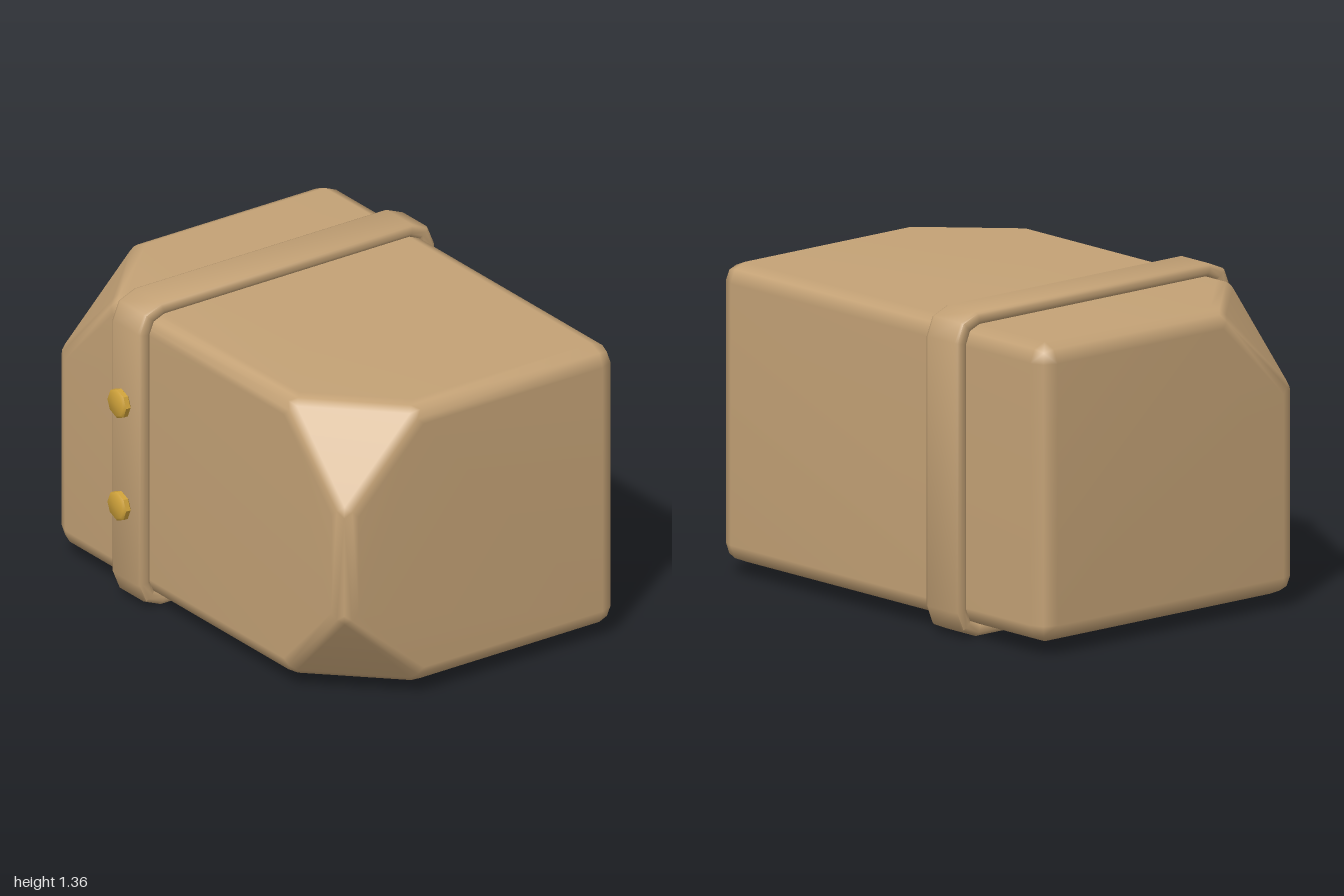
import * as THREE from 'three';
import { mergeVertices, toCreasedNormals } from 'three/addons/utils/BufferGeometryUtils.js';
import { ConvexGeometry } from 'three/addons/geometries/ConvexGeometry.js';

// Rounded block whose listed corners are sliced off diagonally.
function slicedBlock(min, max, bevel, slice, isSliced) {
  const points = [];
  // Round one inner vertex towards its adjoining faces.
  const addVertex = (p, normals) => {
    const [a, b, c] = normals;
    const dirs = [a, b, c, a.clone().add(b), b.clone().add(c), c.clone().add(a), a.clone().add(b).add(c)];
    for (const d of dirs) points.push(d.clone().normalize().multiplyScalar(bevel).add(p));
  };
  for (const sx of [-1, 1]) for (const sy of [-1, 1]) for (const sz of [-1, 1]) {
    const s = [sx, sy, sz];
    const corner = new THREE.Vector3(...s.map((v, i) => (v > 0 ? max[i] - bevel : min[i] + bevel)));
    const axes = s.map((v, i) => new THREE.Vector3().setComponent(i, v));
    if (!isSliced(sx, sy, sz)) {
      addVertex(corner, axes);
      continue;
    }
    const diagonal = new THREE.Vector3(...s).normalize();
    axes.forEach((axis, k) => {
      const p = corner.clone().addScaledVector(axis, -slice);
      addVertex(p, [diagonal, ...axes.filter((_, i) => i !== k)]);
    });
  }
  const geo = new ConvexGeometry(points);
  geo.deleteAttribute('normal');
  const smooth = mergeVertices(geo, 1e-4);
  smooth.computeVertexNormals();
  return smooth;
}

// Rectangle outline with two-step rounded corners.
function outline(x0, x1, y0, y1, r) {
  const pts = [];
  const centres = [[x1 - r, y1 - r], [x0 + r, y1 - r], [x0 + r, y0 + r], [x1 - r, y0 + r]];
  centres.forEach(([cx, cy], q) => {
    for (let i = 0; i <= 2; i++) {
      const a = (q + i / 2) * Math.PI / 2;
      pts.push(new THREE.Vector2(cx + r * Math.cos(a), cy + r * Math.sin(a)));
    }
  });
  return pts;
}

export function createModel() {
  const model = new THREE.Group();
  model.name = 'pouch';
  const leather = new THREE.MeshStandardMaterial({ color: 0xc4a276 });
  leather.name = 'tan leather';
  const brass = new THREE.MeshStandardMaterial({ color: 0xcfa23a });
  brass.name = 'brass';

  const add = (name, geo, material) => {
    const mesh = new THREE.Mesh(geo, material);
    mesh.name = name;
    model.add(mesh);
    return mesh;
  };

  // Body: three of the four front corners are sliced
  add('body', slicedBlock([-1, 0.05, -0.725], [1, 1.31, 0.67], 0.08, 0.33,
    (sx, sy, sz) => sz > 0 && (sx > 0 || sy > 0)), leather);

  // Strap: soft-edged loop around the body, drawn in the z-y plane
  const bevel = 0.018;
  const ring = new THREE.Shape(outline(-0.725 + bevel, 0.775 - bevel, bevel, 1.362 - bevel, 0.1));
  ring.holes.push(new THREE.Path(outline(-0.678 - bevel + 0.012, 0.73 + bevel - 0.012,
    0.042 - bevel + 0.012, 1.32 + bevel - 0.012, 0.085).reverse()));
  const strapGeo = new THREE.ExtrudeGeometry(ring, {
    depth: 0.2 - 2 * bevel, bevelEnabled: true, bevelSize: bevel, bevelThickness: bevel, bevelSegments: 2,
  });
  strapGeo.translate(0, 0, -0.1 + bevel);
  strapGeo.rotateY(Math.PI / 2);
  const strap = add('strap', toCreasedNormals(strapGeo, 0.9), leather);
  strap.position.x = -0.43;

  // Studs: eight-sided discs on the front of the strap
  const profile = [[0, -0.02], [0.052, -0.02], [0.064, -0.011], [0.064, 0.011], [0.052, 0.02], [0, 0.02]]
    .map(([x, y]) => new THREE.Vector2(x, y));
  const studGeo = toCreasedNormals(new THREE.LatheGeometry(profile, 8).toNonIndexed(), 0.7);
  studGeo.rotateX(Math.PI / 2);
  [['upperStud', 0.915], ['lowerStud', 0.452]].forEach(([name, y]) => {
    add(name, studGeo, brass).position.set(-0.432, y, 0.754);
  });

  return model;
}
